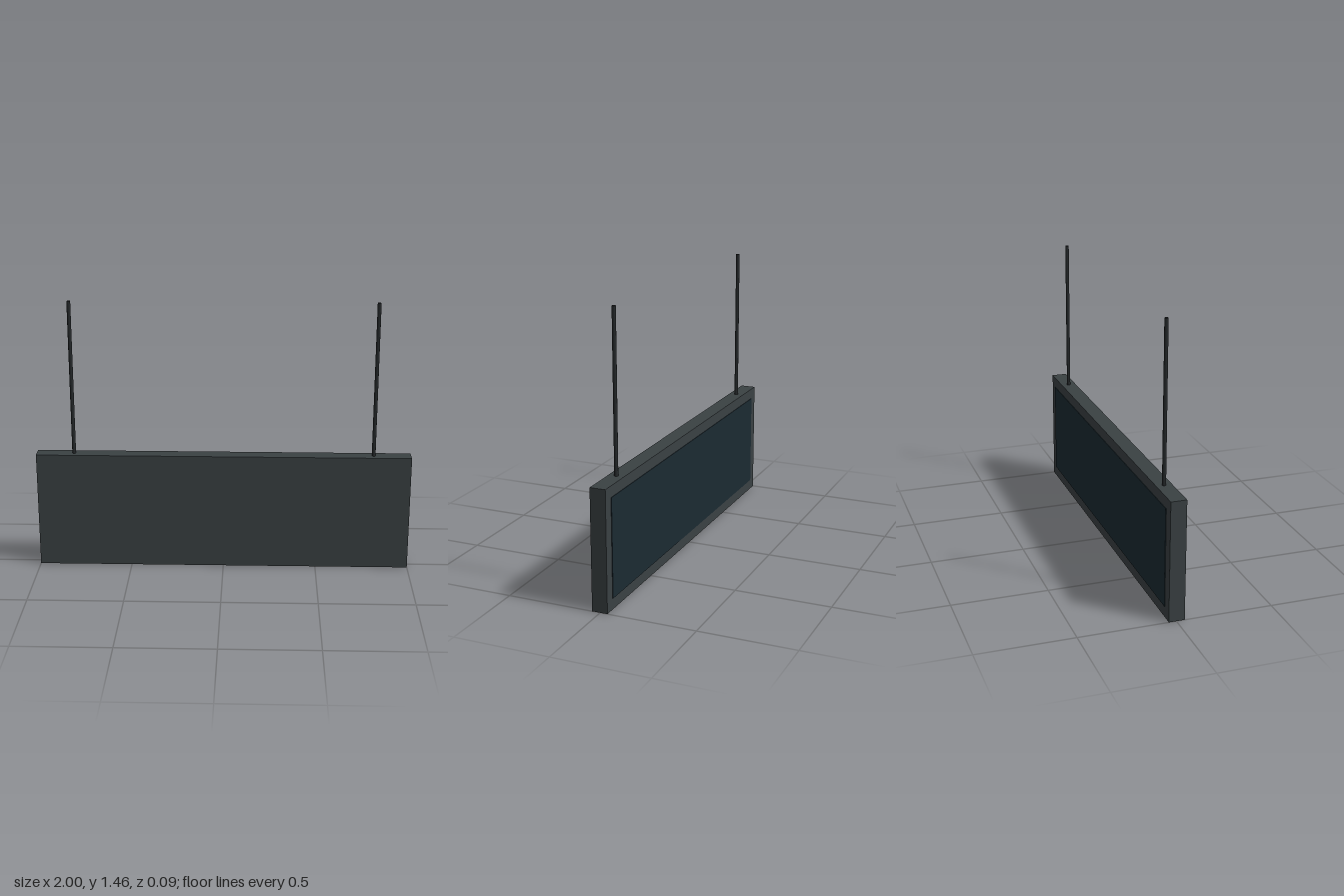
import * as THREE from 'three';

const mat = (color) => new THREE.MeshStandardMaterial({ color });

export function createModel() {
  const group = new THREE.Group();
  const W = 2, H = 0.63, D = 0.082, TOP = 1.46;
  const zBody = 0.002;

  const add = (name, geometry, material, x, y, z) => {
    const mesh = new THREE.Mesh(geometry, material);
    mesh.name = name;
    mesh.position.set(x, y, z);
    group.add(mesh);
  };

  // Flat display housing
  add('housing', new THREE.BoxGeometry(W, H, D), mat(0x3a4143), 0, H / 2, zBody);

  // Dark screen set almost flush in the back
  add('screen', new THREE.BoxGeometry(1.885, 0.515, 0.006), mat(0x1b2a32), 0, H / 2, zBody - D / 2);

  // Two ceiling rods
  const rodMat = mat(0x25292b);
  const rodBottom = H - 0.01;
  const rodGeo = new THREE.CylinderGeometry(0.01, 0.01, TOP - rodBottom, 12);
  for (const side of [1, -1]) {
    add(side > 0 ? 'leftRod' : 'rightRod', rodGeo, rodMat, side * 0.8, (TOP + rodBottom) / 2, zBody);
  }
  return group;
}
